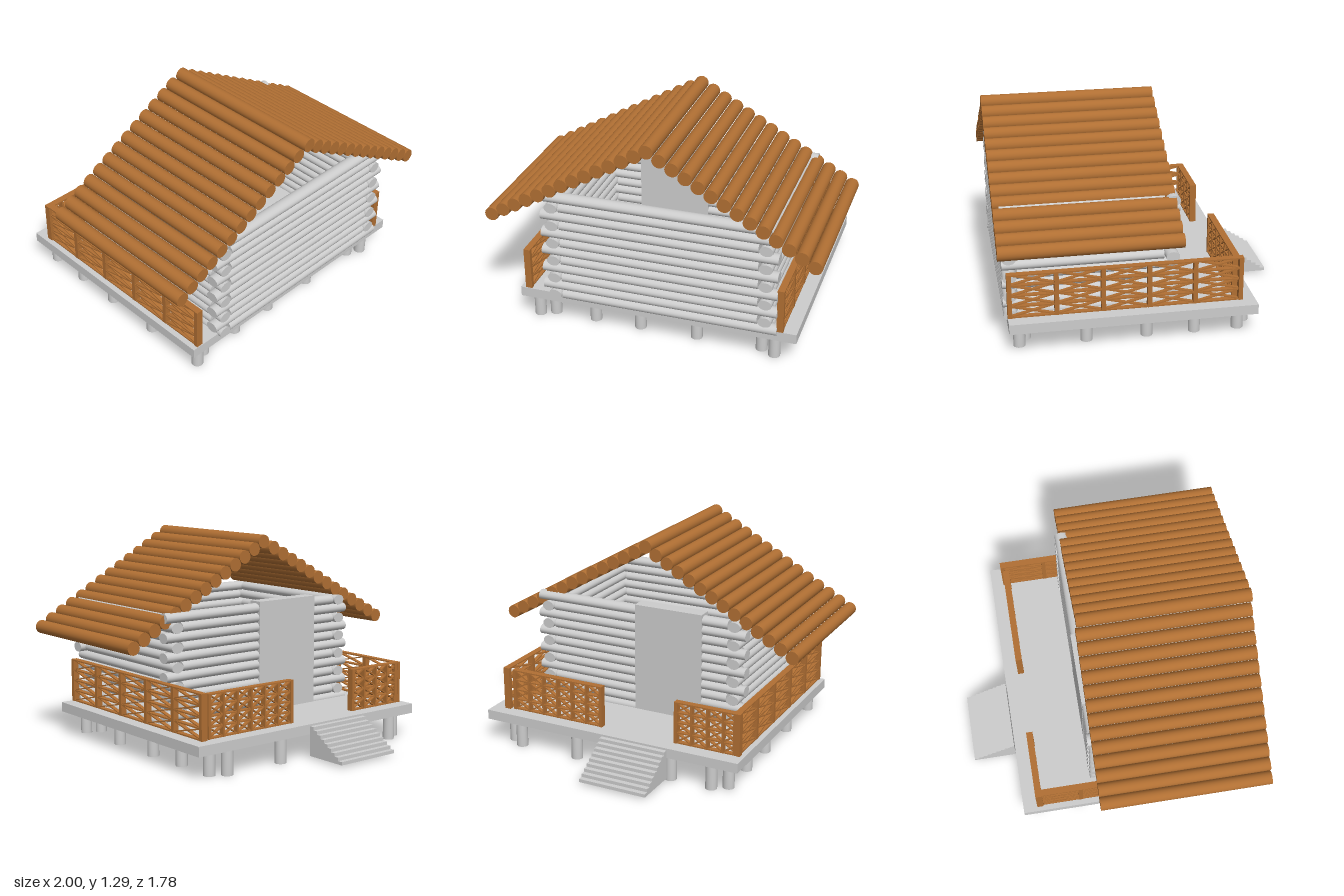
import * as THREE from 'three';

const grey = new THREE.MeshStandardMaterial({ color: 0xcccccc });
grey.name = 'pale grey';
const brown = new THREE.MeshStandardMaterial({ color: 0xb06f33 });
brown.name = 'brown wood';

const FLOOR = 0.205;

function add(parent, name, geometry, material, x = 0, y = 0, z = 0) {
  const mesh = new THREE.Mesh(geometry, material);
  mesh.name = name;
  mesh.position.set(x, y, z);
  parent.add(mesh);
  return mesh;
}

// Box given by its minimum and maximum corners
function boxBetween(parent, name, material, [x0, y0, z0], [x1, y1, z1]) {
  return add(parent, name, new THREE.BoxGeometry(x1 - x0, y1 - y0, z1 - z0), material,
    (x0 + x1) / 2, (y0 + y1) / 2, (z0 + z1) / 2);
}

function group(parent, name) {
  const g = new THREE.Group();
  g.name = name;
  parent.add(g);
  return g;
}

// Horizontal log with an oval section, from a to b along x or z
function log(parent, name, material, axis, a, b, across, y, halfWidth, halfHeight) {
  const geo = new THREE.CylinderGeometry(1, 1, b - a, 20);
  geo.rotateX(Math.PI / 2);
  geo.scale(halfWidth, halfHeight, 1);
  if (axis === 'x') geo.rotateY(Math.PI / 2);
  const mid = (a + b) / 2;
  add(parent, name, geo, material, axis === 'x' ? mid : across, y, axis === 'x' ? across : mid);
}

// Lattice railing: posts, rails and crossed braces, built along local x
function railing(parent, name, length, height, cells, postWidth) {
  const g = group(parent, name);
  const depth = 0.04, rows = 4, bar = 0.008;
  const cellW = (length - postWidth) / cells;
  const rowH = (height - bar) / rows;
  for (let i = 0; i <= cells; i++) {
    const end = i === 0 || i === cells;
    add(g, 'railingPost', new THREE.BoxGeometry(end ? Math.max(postWidth, 0.02) : postWidth, height, end ? depth : depth * 0.9),
      brown, postWidth / 2 + i * cellW, height / 2, 0);
  }
  for (let r = 0; r <= rows; r++) {
    add(g, 'rail', new THREE.BoxGeometry(length, bar, r === rows ? depth : depth * 0.8), brown,
      length / 2, bar / 2 + r * rowH, 0);
  }
  const braceGeo = new THREE.BoxGeometry(Math.hypot(cellW, rowH), 0.007, depth * 0.6);
  const angle = Math.atan2(rowH, cellW);
  for (let i = 0; i < cells; i++) {
    for (let r = 0; r < rows; r++) {
      for (const s of [-1, 1]) {
        const brace = add(g, 'brace', braceGeo, brown,
          postWidth / 2 + (i + 0.5) * cellW, bar / 2 + (r + 0.5) * rowH, 0);
        brace.rotation.z = s * angle;
      }
    }
  }
  return g;
}

export function createModel() {
  const cabin = new THREE.Group();
  cabin.name = 'logCabin';

  // Platform on short round piles
  boxBetween(cabin, 'platform', grey, [-0.83, 0.145, -0.615], [0.86, FLOOR, 0.83]);
  const piles = group(cabin, 'piles');
  const pileGeo = new THREE.CylinderGeometry(0.035, 0.035, 0.145, 20);
  const pile = (x, z) => add(piles, 'pile', pileGeo, grey, x, 0.0725, z);
  for (const x of [-0.655, -0.395, -0.11, 0.24, 0.635]) {
    pile(x, -0.58);
    pile(x, 0.725);
  }
  for (const z of [-0.525, -0.265, 0.02, 0.375, 0.765]) {
    pile(-0.74, z);
    pile(0.72, z);
  }

  // Log walls: the protruding ends swap direction with each course
  const walls = group(cabin, 'logWalls');
  for (let i = 0; i < 12; i++) {
    const y = 0.206 + i * 0.0578;
    const even = i % 2 === 0;
    const shortX = [-0.67, 0.63], longX = [-0.555, 0.745];
    const backZ = [-0.175, 0.765], frontZ = [-0.085, 0.85];
    const wallLog = (name, axis, [a, b], across) =>
      log(walls, name, grey, axis, a, b, across, y, 0.04, 0.031);
    wallLog('frontWallLog', 'x', even ? longX : shortX, 0.81);
    wallLog('backWallLog', 'x', even ? shortX : longX, -0.13);
    wallLog('leftWallLog', 'z', even ? backZ : frontZ, 0.675);
    wallLog('rightWallLog', 'z', even ? frontZ : backZ, -0.6);
  }

  // Door slab in the back wall
  boxBetween(cabin, 'door', grey, [-0.39, FLOOR, -0.172], [0.057, 0.885, -0.085]);

  // Gabled roof of round logs, the two halves slightly offset
  const roof = group(cabin, 'roof');
  for (let i = 0; i <= 13; i++) {
    const t = i / 13;
    log(roof, 'roofLogLeft', brown, 'z', -0.143, 0.887, 0.957 * t, 1.245 - 0.55 * t, 0.041, 0.041);
    if (i > 0) {
      log(roof, 'roofLogRight', brown, 'z', -0.152, 0.878, -0.959 * t, 1.245 - 0.54 * t, 0.041, 0.041);
    }
  }

  // Veranda railings
  const leftRail = railing(cabin, 'leftRailing', 1.37, 0.27, 5, 0.026);
  leftRail.position.set(0.762, FLOOR, 0.83);
  leftRail.rotation.y = Math.PI / 2;
  const rightRail = railing(cabin, 'rightRailing', 1.35, 0.26, 5, 0.026);
  rightRail.position.set(-0.78, FLOOR, 0.825);
  rightRail.rotation.y = Math.PI / 2;
  railing(cabin, 'backRailingLeft', 0.62, 0.26, 6, 0.012).position.set(0.1, FLOOR, -0.508);
  railing(cabin, 'backRailingRight', 0.41, 0.26, 4, 0.012).position.set(-0.8, FLOOR, -0.508);

  // Solid flight of steps; the profile runs outward from the platform
  const steps = 9, run = 0.03, rise = 0.02;
  const profile = new THREE.Shape();
  profile.moveTo(0, 0);
  profile.lineTo(steps * run, 0);
  for (let i = 1; i <= steps; i++) {
    profile.lineTo((steps - i + 1) * run, i * rise);
    profile.lineTo((steps - i) * run, i * rise);
  }
  const stairGeo = new THREE.ExtrudeGeometry(profile, { depth: 0.43, bevelEnabled: false });
  stairGeo.rotateY(Math.PI / 2);
  add(cabin, 'stairs', stairGeo, grey, -0.385, 0.015, -0.62);

  return cabin;
}
